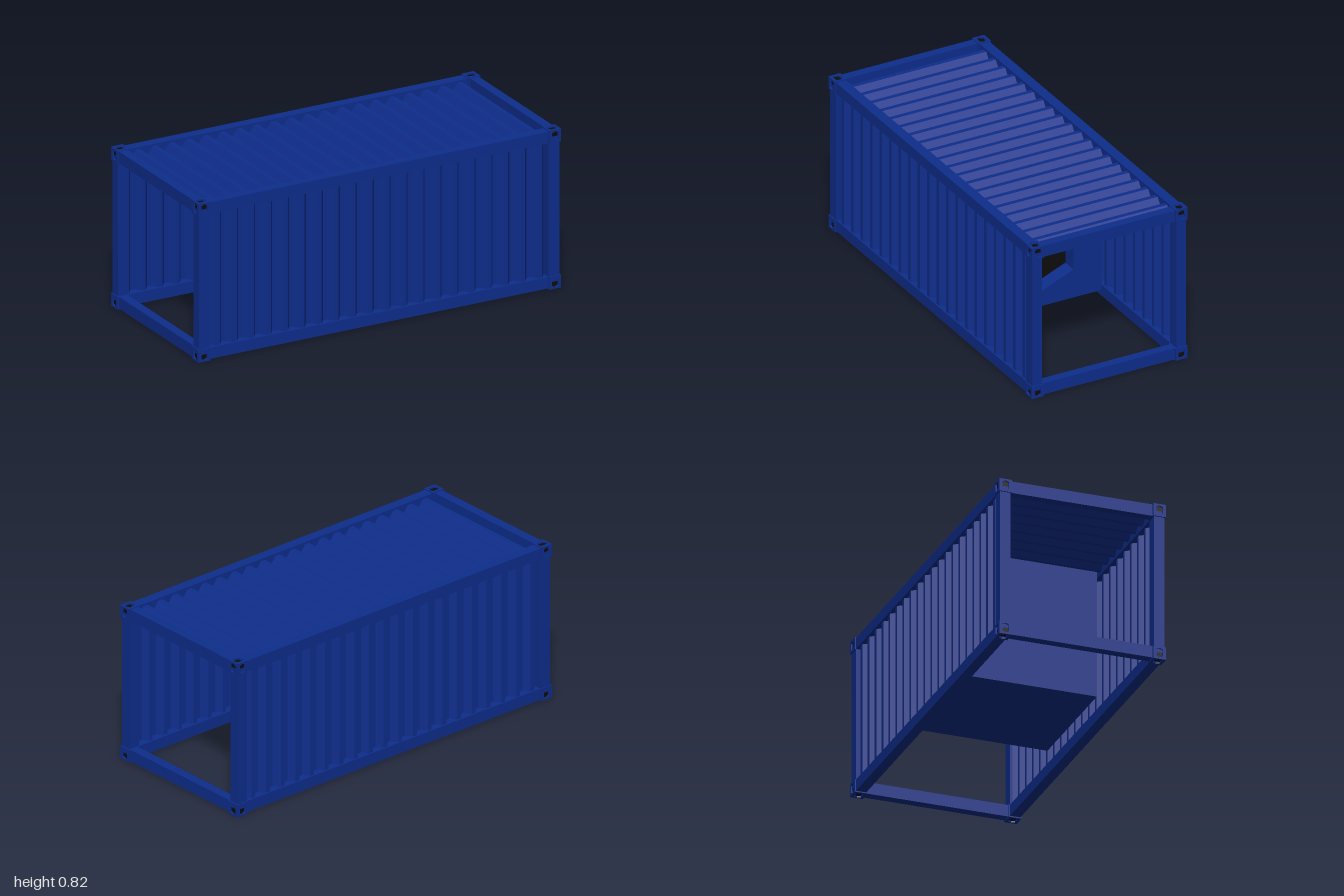
import * as THREE from 'three';
import { mergeGeometries } from 'three/addons/utils/BufferGeometryUtils.js';

const blue = new THREE.MeshStandardMaterial({ color: 0x0e2d8c, flatShading: true });
blue.name = 'containerBlue';
const sheetBlue = blue;
sheetBlue.side = THREE.DoubleSide;
const black = new THREE.MeshStandardMaterial({ color: 0x0d0d0d });
black.name = 'socketBlack';

const BASE = 0.66;          // size of the large block
const CORNER = 0.066;       // size of a corner casting
const HEIGHT = 0.821;

function box(name, w, h, d, x, y, z) {
  const mesh = new THREE.Mesh(new THREE.BoxGeometry(w, h, d), blue);
  mesh.name = name;
  mesh.position.set(x, y, z);
  return mesh;
}

// One cube face as a thick plate, with or without a hexagonal socket
function plate(withHole) {
  const h = BASE / 2, depth = 0.08;
  const shape = new THREE.Shape([[-h, -h], [h, -h], [h, h], [-h, h]].map(p => new THREE.Vector2(...p)));
  if (withHole) {
    const hex = [[0, 0.248], [0.175, 0.177], [0.175, -0.177], [0, -0.248], [-0.175, -0.177], [-0.175, 0.177]];
    shape.holes.push(new THREE.Path(hex.map(p => new THREE.Vector2(...p))));
  }
  const g = new THREE.ExtrudeGeometry(shape, { depth, bevelEnabled: false });
  return g.translate(0, 0, h - depth);
}

// Cube with sockets on the three faces pointing towards the given signs
function casting(name, size, sx, sy, sz) {
  const group = new THREE.Group();
  group.name = name;
  const faces = [];
  for (const s of [-1, 1]) {
    faces.push(plate(s === sx).rotateY(s * Math.PI / 2));
    faces.push(plate(s === sy).rotateZ(Math.PI / 2).rotateX(-s * Math.PI / 2));
    faces.push(plate(s === sz).rotateY(s > 0 ? 0 : Math.PI));
  }
  const shell = new THREE.Mesh(mergeGeometries(faces), blue);
  shell.name = 'castingShell';
  const core = new THREE.Mesh(new THREE.BoxGeometry(0.501, 0.501, 0.501), black);
  core.name = 'socketFloor';
  group.add(shell, core);
  group.scale.setScalar(size / BASE);
  return group;
}

// Trapezoidal sheet: ribs run along y, folds follow x, ridges rise towards +z
function corrugated(height, depth) {
  const ribs = 20, start = -0.935, period = 1.87 / ribs;
  const columns = [[-0.94, 0]];
  for (let i = 0; i < ribs; i++) {
    [[0.15, 0], [0.4, 1], [0.66, 1], [0.93, 0]].forEach(([f, up]) => {
      columns.push([start + (i + f) * period, up * depth]);
    });
  }
  columns.push([0.94, 0]);
  const n = columns.length;
  const g = new THREE.PlaneGeometry(1, height, n - 1, 1);
  const pos = g.attributes.position;
  for (let i = 0; i < pos.count; i++) {
    pos.setX(i, columns[i % n][0]);
    pos.setZ(i, columns[i % n][1]);
  }
  const flat = g.toNonIndexed();
  flat.computeVertexNormals();
  return flat;
}

export function createModel() {
  const model = new THREE.Group();
  model.name = 'container';
  const c = CORNER / 2;

  // Corner castings, posts
  for (const sx of [-1, 1]) {
    for (const sz of [-1, 1]) {
      for (const sy of [-1, 1]) {
        const corner = casting('cornerCasting', CORNER, sx, sy, sz);
        corner.position.set(sx * (1 - c), sy > 0 ? HEIGHT - c : c, sz * 0.396);
        model.add(corner);
      }
      model.add(box('cornerPost', 0.06, 0.75, 0.053, sx * 0.963, HEIGHT / 2, sz * 0.3965));
    }
  }

  // Long rails and end beams, bottom and top
  for (const y of [0.0355, 0.786]) {
    for (const s of [-1, 1]) {
      model.add(box('sideRail', 1.9, 0.059, 0.053, 0, y, s * 0.3965));
      model.add(box('endBeam', 0.048, 0.061, 0.76, s * 0.968, y, 0));
    }
  }

  // Corrugated side walls
  const wall = corrugated(0.72, 0.033);
  for (const s of [-1, 1]) {
    const sheet = new THREE.Mesh(wall, sheetBlue);
    sheet.name = s > 0 ? 'frontWall' : 'backWall';
    sheet.rotation.y = s > 0 ? 0 : Math.PI;
    sheet.position.set(0, HEIGHT / 2, s * 0.381);
    model.add(sheet);
  }

  // Corrugated roof
  const roof = new THREE.Mesh(corrugated(0.76, 0.033), sheetBlue);
  roof.name = 'roof';
  roof.rotation.x = -Math.PI / 2;
  roof.position.y = 0.771;
  model.add(roof);

  // Large socketed block inside
  const block = casting('innerBlock', BASE, 1, 1, 1);
  block.position.y = HEIGHT / 2;
  model.add(block);

  return model;
}
